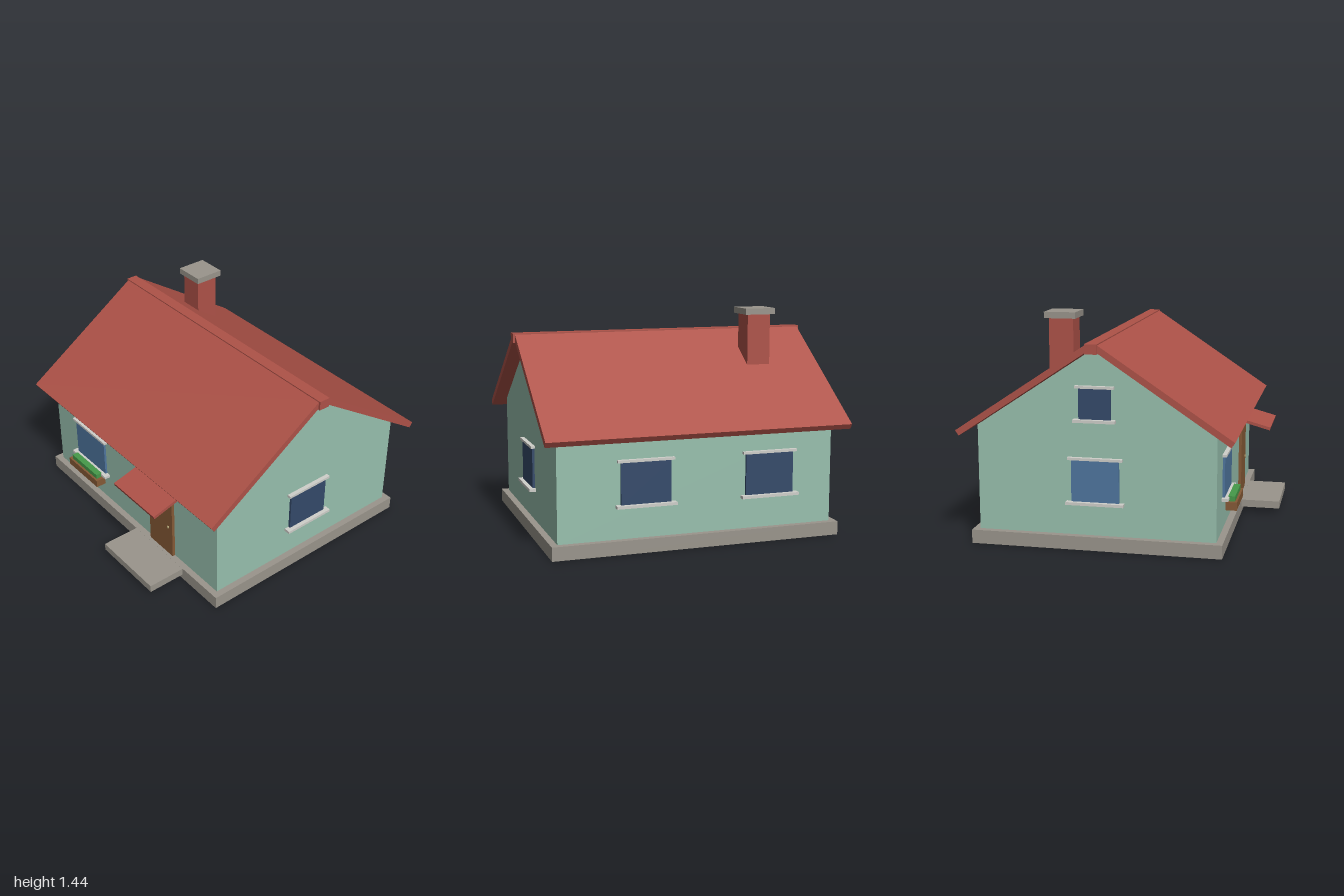
import * as THREE from 'three';

const mat = (name, color) => {
  const m = new THREE.MeshStandardMaterial({ color });
  m.name = name;
  return m;
};

export function createModel() {
  const house = new THREE.Group();
  house.name = 'house';
  const plaster = mat('mint plaster', 0x98c0ae);
  const tile = mat('red tile', 0xae5248);
  const stone = mat('grey stone', 0x9a958c);
  const trim = mat('pale trim', 0xcfcfca);
  const blueGlass = mat('blue glass', 0x4f769f);
  const darkGlass = mat('dark glass', 0x344a6a);
  const wood = mat('brown wood', 0x865a36);
  const leaf = mat('green leaf', 0x469a4a);
  const metal = mat('handle metal', 0xb8a878);

  // Box given by its lower and upper limits on each axis
  const box = (name, material, [x0, x1], [y0, y1], [z0, z1], parent = house) => {
    const mesh = new THREE.Mesh(new THREE.BoxGeometry(x1 - x0, y1 - y0, z1 - z0), material);
    mesh.position.set((x0 + x1) / 2, (y0 + y1) / 2, (z0 + z1) / 2);
    mesh.name = name;
    parent.add(mesh);
    return mesh;
  };

  // Profile of [z, y] points extruded along x, centred on xMid
  const extrudeX = (name, material, points, length, xMid = 0) => {
    const shape = new THREE.Shape(points.map(([z, y]) => new THREE.Vector2(-z, y)));
    const geometry = new THREE.ExtrudeGeometry(shape, { depth: length, bevelEnabled: false });
    geometry.translate(0, 0, -length / 2).rotateY(Math.PI / 2);
    const mesh = new THREE.Mesh(geometry, material);
    mesh.position.x = xMid;
    mesh.name = name;
    house.add(mesh);
  };

  // Foundation, front step and gabled walls
  const mid = -0.09;
  box('foundation', stone, [-0.943, 0.943], [0, 0.087], [-0.882, 0.702]);
  box('frontStep', stone, [0.085, 0.6], [0.037, 0.0865], [0.7, 0.96]);
  extrudeX('walls', plaster, [
    [mid + 0.75, 0.08], [mid + 0.75, 0.757], [mid, 1.255], [mid - 0.75, 0.757], [mid - 0.75, 0.08],
  ], 1.8);

  // Two roof slabs mirrored about the ridge
  for (const side of [1, -1]) {
    extrudeX(side > 0 ? 'frontRoof' : 'backRoof', tile, [
      [mid + side * 0.865, 0.733], [mid + side * 0.03, 1.289],
      [mid + side * 0.008, 1.256], [mid + side * 0.843, 0.7],
    ], 1.976);
  }
  box('ridge', tile, [-1, 1], [1.23, 1.291], [mid - 0.038, mid + 0.038]);

  // Chimney with cap
  box('chimney', tile, [-0.64, -0.483], [1, 1.4], [-0.447, -0.29]);
  box('chimneyCap', stone, [-0.664, -0.46], [1.4, 1.44], [-0.472, -0.27]);

  // Door, handle and sloping canopy
  box('door', wood, [0.22, 0.465], [0.087, 0.55], [0.65, 0.68]);
  box('doorHandle', metal, [0.42, 0.432], [0.31, 0.324], [0.68, 0.688]);
  extrudeX('doorCanopy', tile, [
    [0.655, 0.656], [0.655, 0.636], [0.88, 0.574], [0.885, 0.594],
  ], 0.43, 0.34);

  // Windows are built facing +z, then turned to their wall
  const addWindow = (name, glass, x, y, z, turn, w, h) => {
    const group = new THREE.Group();
    group.name = name;
    group.position.set(x, y, z);
    group.rotation.y = turn;
    box('glass', glass, [-w / 2, w / 2], [0, h], [-0.01, 0.015], group);
    box('lintel', trim, [-w / 2 - 0.022, w / 2 + 0.022], [h, h + 0.016], [-0.01, 0.027], group);
    box('sill', trim, [-w / 2 - 0.032, w / 2 + 0.032], [-0.018, 0], [-0.01, 0.042], group);
    house.add(group);
  };
  const right = Math.PI / 2;
  addWindow('frontWindow', blueGlass, -0.475, 0.302, 0.66, 0, 0.34, 0.262);
  addWindow('leftWindow', darkGlass, 0.9, 0.302, mid, right, 0.3, 0.262);
  addWindow('rightWindow', blueGlass, -0.9, 0.302, mid, -right, 0.3, 0.262);
  addWindow('atticWindow', darkGlass, -0.9, 0.82, mid, -right, 0.2, 0.19);
  for (const x of [0.345, -0.47]) addWindow('backWindow', darkGlass, x, 0.302, -0.84, Math.PI, 0.32, 0.262);

  // Flower box under the front window
  box('flowerBox', wood, [-0.648, -0.303], [0.222, 0.275], [0.68, 0.752]);
  box('flowerBoxPlants', leaf, [-0.625, -0.325], [0.275, 0.308], [0.695, 0.738]);

  return house;
}
